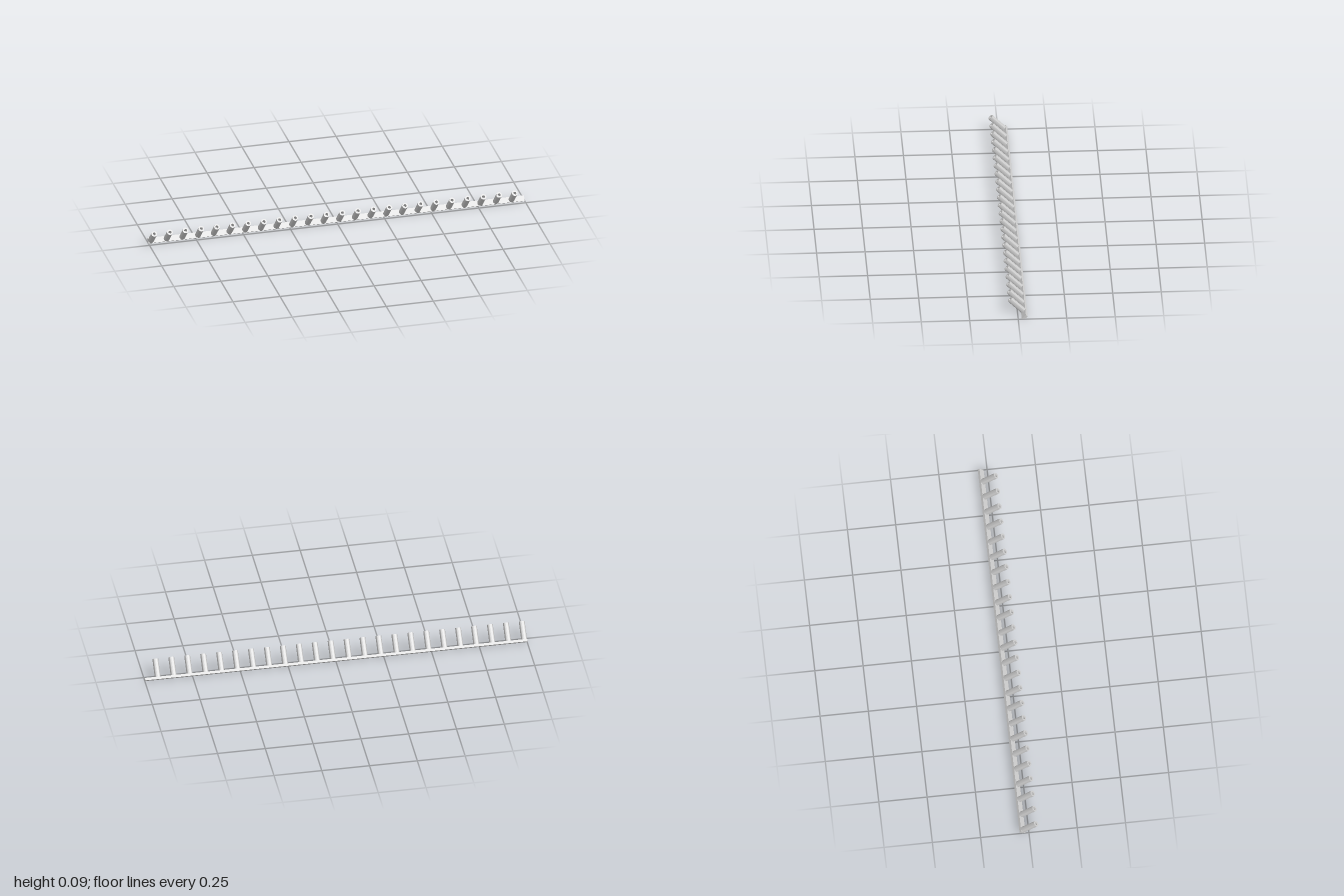
import * as THREE from 'three';
import { toCreasedNormals } from 'three/addons/utils/BufferGeometryUtils.js';

export function createModel() {
  const model = new THREE.Group();
  model.name = 'pegStrip';
  const grey = new THREE.MeshStandardMaterial({ color: 0xcccccc });

  // Everything leans forward by 45 degrees; local y runs along the pegs
  const leaning = new THREE.Group();
  leaning.name = 'leaningStrip';
  leaning.rotation.x = Math.PI / 4;
  model.add(leaning);

  const barTop = -0.0105, barBottom = -0.0235, barFront = 0.0148, barBack = 0.0452;
  const chamfer = 0.0087, tip = 0.0856, radius = 0.0152;

  // Long bar, its lower front corner chamfered so that it rests flat
  const section = new THREE.Shape([
    new THREE.Vector2(barFront, barTop),
    new THREE.Vector2(barFront, barBottom + chamfer),
    new THREE.Vector2(barFront + chamfer, barBottom),
    new THREE.Vector2(barBack, barBottom),
    new THREE.Vector2(barBack, barTop),
  ]);
  const barGeometry = new THREE.ExtrudeGeometry(section, { depth: 2, bevelEnabled: false });
  barGeometry.translate(0, 0, -1).rotateY(Math.PI / 2);
  const bar = new THREE.Mesh(barGeometry, grey);
  bar.name = 'bar';
  leaning.add(bar);

  // Round pegs with a small blind hole in the tip
  const hole = radius * 0.5;
  const profile = [
    [0, barTop], [radius, barTop], [radius, tip], [hole, tip], [hole, tip - 0.03], [0, tip - 0.03],
  ].map(([r, y]) => new THREE.Vector2(r, y));
  const pegGeometry = toCreasedNormals(new THREE.LatheGeometry(profile, 32), 0.6);
  const count = 24, spacing = 2 / count;
  for (let i = 0; i < count; i++) {
    const peg = new THREE.Mesh(pegGeometry, grey);
    peg.name = `peg${i + 1}`;
    peg.position.set(-1 + radius + i * spacing, 0, -(barFront + barBack) / 2);
    leaning.add(peg);
  }
  return model;
}
